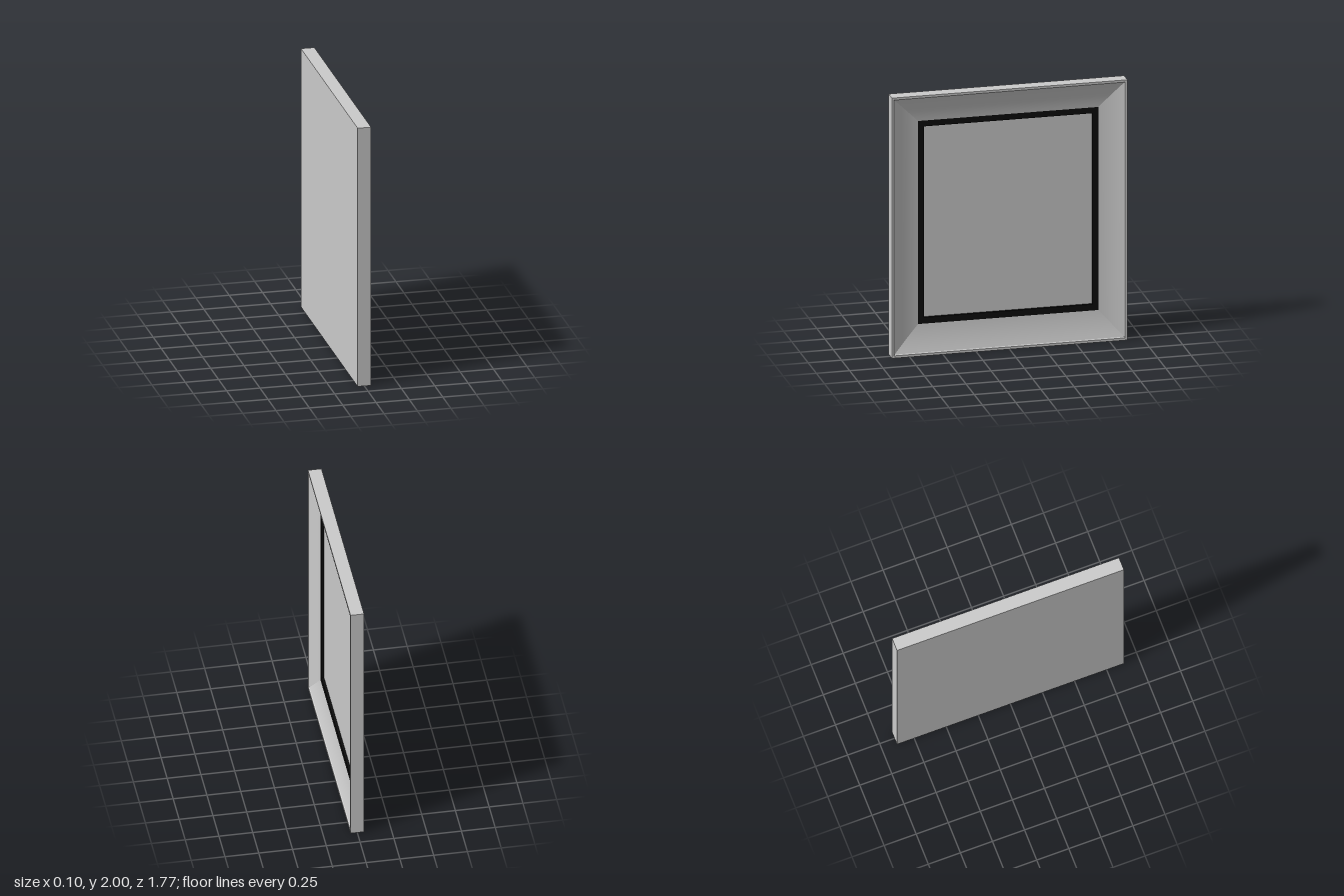
import * as THREE from 'three';

const grey = new THREE.MeshStandardMaterial({ color: 0xcccccc, side: THREE.DoubleSide });
const black = new THREE.MeshStandardMaterial({ color: 0x0c0c0c, side: THREE.DoubleSide });

// Rectangles as z and y limits; the frame faces +x
const OUTER = { z0: -0.884, z1: 0.884, y0: 0, y1: 2 };
const SIGHT = { z0: -0.68, z1: 0.674, y0: 0.23, y1: 1.79 };
const PANEL = { z0: -0.636, z1: 0.628, y0: 0.277, y1: 1.745 };
const BACK_X = -0.05, FRONT_X = 0.05, MAT_X = -0.004, PANEL_X = -0.024;

// Rectangle part way between two others
function between(a, b, t) {
  const r = {};
  for (const k of ['z0', 'z1', 'y0', 'y1']) r[k] = THREE.MathUtils.lerp(a[k], b[k], t);
  return r;
}

const corners = ({ z0, z1, y0, y1 }, x) => [[x, y0, z1], [x, y0, z0], [x, y1, z0], [x, y1, z1]];

// Four mitred sides through a list of [rectangle, x], smooth along the profile only
function mitredSides(name, rings, material) {
  const group = new THREE.Group();
  group.name = name;
  const loops = rings.map(([rect, x]) => corners(rect, x));
  ['Bottom', 'Right', 'Top', 'Left'].forEach((side, i) => {
    const positions = [], index = [];
    loops.forEach((loop, j) => {
      positions.push(...loop[i], ...loop[(i + 1) % 4]);
      if (j) {
        const a = 2 * j - 2;
        index.push(a, a + 1, a + 3, a, a + 3, a + 2);
      }
    });
    const geometry = new THREE.BufferGeometry();
    geometry.setAttribute('position', new THREE.Float32BufferAttribute(positions, 3));
    geometry.setIndex(index);
    geometry.computeVertexNormals();
    const mesh = new THREE.Mesh(geometry, material);
    mesh.name = name + side;
    group.add(mesh);
  });
  return group;
}

// Flat rectangle facing +x or -x
function flat(name, r, x, facing) {
  const mesh = new THREE.Mesh(new THREE.PlaneGeometry(r.z1 - r.z0, r.y1 - r.y0), grey);
  mesh.rotation.y = facing * Math.PI / 2;
  mesh.position.set(x, (r.y0 + r.y1) / 2, (r.z0 + r.z1) / 2);
  mesh.name = name;
  return mesh;
}

export function createModel() {
  const model = new THREE.Group();
  model.name = 'pictureFrame';

  // Outer edges and narrow front lip
  const lip = between(OUTER, SIGHT, 0.08);
  const step = between(OUTER, SIGHT, 0.11);
  model.add(mitredSides('outerEdge', [[OUTER, BACK_X], [OUTER, FRONT_X]], grey));
  model.add(mitredSides('frontLip', [[OUTER, FRONT_X], [lip, FRONT_X]], grey));
  model.add(mitredSides('lipStep', [[lip, FRONT_X], [step, 0.042]], grey));

  // Hollow moulding that falls towards the picture
  const cove = [];
  for (let i = 0; i <= 10; i++) {
    const s = i / 10, u = 1 - s;
    cove.push([between(step, SIGHT, s), MAT_X + (0.042 - MAT_X) * (0.5 * u + 0.5 * u * u)]);
  }
  model.add(mitredSides('moulding', cove, grey));

  // Black inner border with its step down to the picture
  model.add(mitredSides('innerBorder', [[SIGHT, MAT_X], [PANEL, MAT_X]], black));
  model.add(mitredSides('innerBorderWall', [[PANEL, MAT_X], [PANEL, PANEL_X]], black));

  // Picture and back
  model.add(flat('picturePanel', PANEL, PANEL_X, 1));
  model.add(flat('backPanel', OUTER, BACK_X, -1));
  return model;
}
